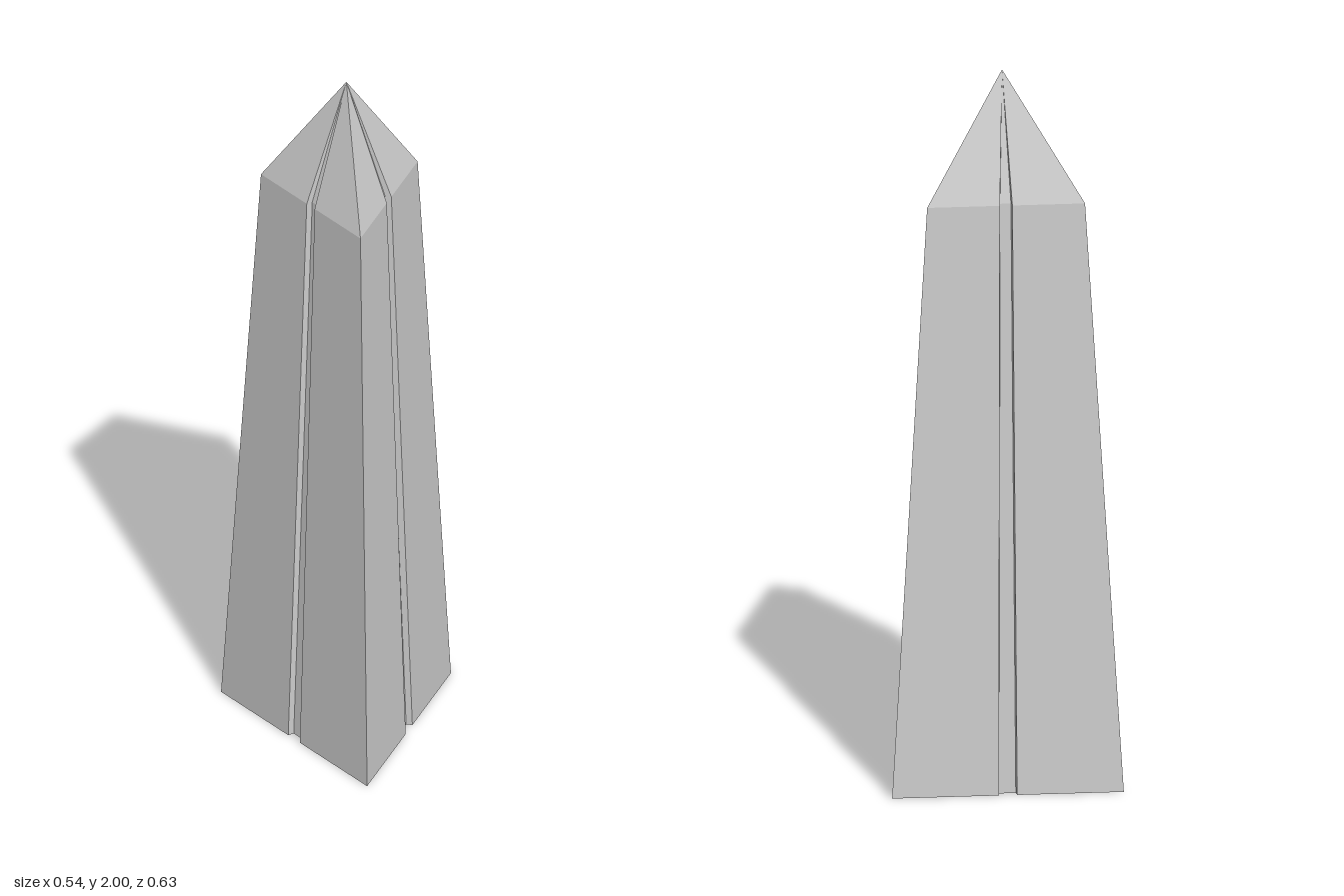
import * as THREE from 'three';

const CENTRE_X = -0.091;  // axis of the triangular plan
const GROOVE_DEPTH = 0.017;
const GROOVE_SLOPE = 0.138; // groove half width per unit of distance from the axis

// Triangular cross-section with a radial groove in the middle of each side
function section(radius, y) {
  const points = [];
  const inner = radius / 2;
  for (let i = 0; i < 3; i++) {
    const corner = i * Math.PI * 2 / 3;
    const side = corner + Math.PI / 3;
    points.push(new THREE.Vector3(CENTRE_X + radius * Math.cos(corner), y, radius * Math.sin(corner)));
    const floor = inner - GROOVE_DEPTH;
    for (const [d, s] of [[inner, -1], [floor, -1], [floor, 1], [inner, 1]]) {
      const w = s * d * GROOVE_SLOPE;
      points.push(new THREE.Vector3(
        CENTRE_X + d * Math.cos(side) - w * Math.sin(side),
        y,
        d * Math.sin(side) + w * Math.cos(side)));
    }
  }
  return points;
}

// Flat faces joining a lower loop to an upper loop, or to a single tip
function skin(name, lower, upper, material) {
  const corners = [];
  lower.forEach((a, i) => {
    const j = (i + 1) % lower.length;
    const b = lower[j];
    if (upper.length === 1) corners.push(a, upper[0], b);
    else corners.push(a, upper[i], b, b, upper[i], upper[j]);
  });
  const geometry = new THREE.BufferGeometry().setFromPoints(corners);
  geometry.computeVertexNormals();
  const mesh = new THREE.Mesh(geometry, material);
  mesh.name = name;
  return mesh;
}

export function createModel() {
  const group = new THREE.Group();
  group.name = 'obelisk';
  const material = new THREE.MeshStandardMaterial({
    color: 0xcccccc, flatShading: true, side: THREE.DoubleSide,
  });

  const base = section(0.361, 0);
  const shoulder = section(0.246, 1.655);
  const tip = [new THREE.Vector3(CENTRE_X, 2, 0)];

  // Tapering grooved shaft, open underneath
  group.add(skin('shaft', base, shoulder, material));
  // Pointed cap whose grooves run up to the tip
  group.add(skin('pointedCap', shoulder, tip, material));
  return group;
}
